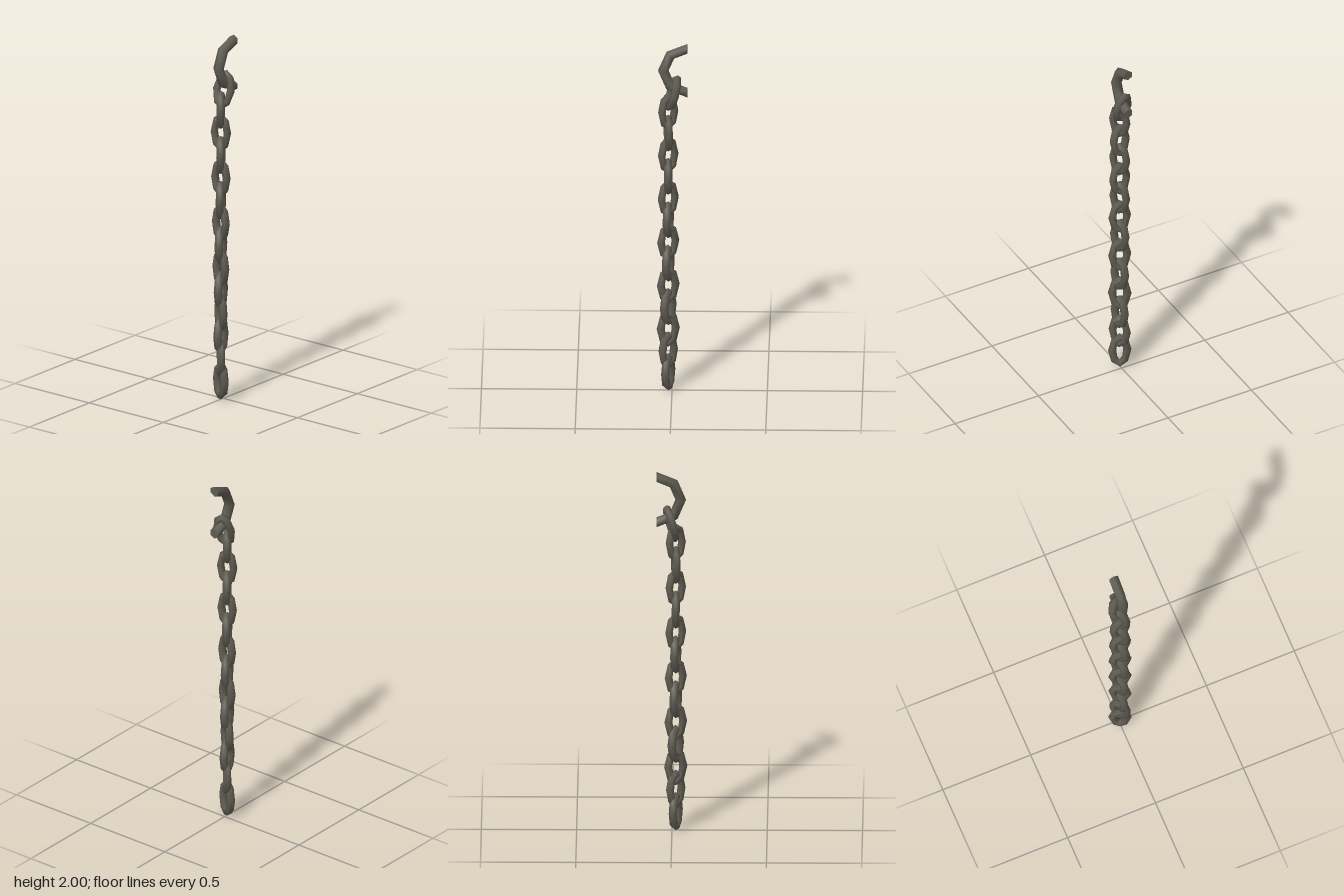
import * as THREE from 'three';
import { mergeVertices } from 'three/addons/utils/BufferGeometryUtils.js';

// Eight-sided oval ring (or part of one) with an even, six-sided rod
function ovalRing(halfWidth, halfHeight, rod, segments, arc) {
  let geo = new THREE.TorusGeometry(1, rod, 6, segments, arc);
  const p = geo.attributes.position;
  for (let i = 0; i < p.count; i++) {
    const x = p.getX(i), y = p.getY(i);
    const len = Math.hypot(x, y), off = len - 1;
    p.setXY(i, (x / len) * (halfWidth + off), (y / len) * (halfHeight + off));
  }
  geo.deleteAttribute('uv');
  geo.deleteAttribute('normal');
  geo = mergeVertices(geo, 1e-5);
  geo.computeVertexNormals();
  return geo;
}

export function createModel() {
  const model = new THREE.Group();
  model.name = 'hangingChain';
  const iron = new THREE.MeshStandardMaterial({ color: 0x5f5c52 });
  iron.name = 'dark iron';

  // Links, bottom to top, each turned about the vertical by its own angle
  const linkGeo = ovalRing(0.04, 0.084, 0.022, 8, Math.PI * 2);
  const turns = [22, 48, 78, 32, 74, 17, 69, 12, 61, 2, 57, -7, 55];
  turns.forEach((deg, i) => {
    const link = new THREE.Mesh(linkGeo, iron);
    link.name = `link${i + 1}`;
    link.position.set(0, 0.11 + i * 0.125, 0.02);
    link.rotation.y = -THREE.MathUtils.degToRad(deg);
    model.add(link);
  });

  // Top link leans back where it hangs on the hook
  const topLink = new THREE.Mesh(linkGeo, iron);
  topLink.name = 'topLink';
  topLink.position.set(0, 1.715, -0.005);
  topLink.rotation.set(-0.25, 0.26, 0);
  model.add(topLink);

  // Hook: half ring bulging to the front, ends cut flat at the back
  const hook = new THREE.Group();
  hook.name = 'hook';
  hook.position.set(0.006, 1.847, -0.08);
  const radius = 0.126, rod = 0.028;
  const bar = new THREE.Mesh(ovalRing(radius, radius, rod, 4, Math.PI), iron);
  bar.name = 'hookBar';
  bar.rotation.set(0, -Math.PI / 2, Math.PI / 2, 'YXZ');
  // arc runs from top, through the front, to the bottom
  bar.rotation.set(0, -Math.PI / 2, -Math.PI / 2, 'YXZ');
  hook.add(bar);
  const capGeo = new THREE.CircleGeometry(rod, 6, Math.PI / 2);
  for (const side of [1, -1]) {
    const cap = new THREE.Mesh(capGeo, iron);
    cap.name = 'hookEnd';
    cap.position.y = side * radius;
    cap.rotation.y = Math.PI;
    hook.add(cap);
  }
  model.add(hook);
  return model;
}
